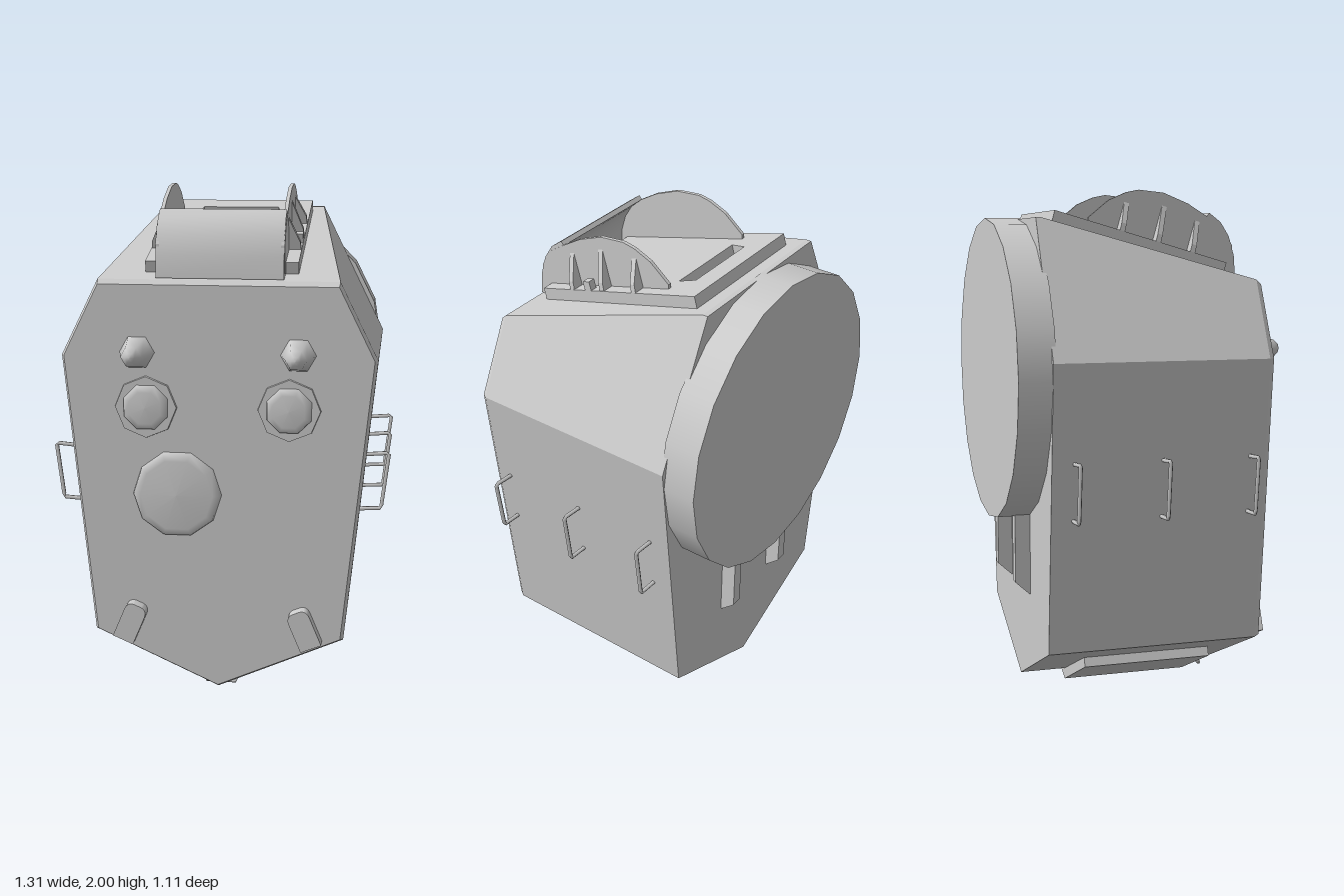
import * as THREE from 'three';
import { toCreasedNormals } from 'three/addons/utils/BufferGeometryUtils.js';

const grey = new THREE.MeshStandardMaterial({ color: 0xcccccc, side: THREE.DoubleSide });

function add(parent, name, geometry, x = 0, y = 0, z = 0) {
  const mesh = new THREE.Mesh(geometry, grey);
  mesh.name = name;
  mesh.position.set(x, y, z);
  parent.add(mesh);
  return mesh;
}

const toShape = (pts) => new THREE.Shape(pts.map(([x, y]) => new THREE.Vector2(x, y)));

const extrude = (shape, depth) =>
  new THREE.ExtrudeGeometry(shape, { depth, bevelEnabled: false, curveSegments: 6 });

// Side profile given as [z, y] pairs, extruded across x and centred on it
function extrudeAcross(pts, width) {
  return extrude(toShape(pts), width).translate(0, 0, -width / 2).rotateY(-Math.PI / 2);
}

// Round part facing forward; profile is [radius, height] from base to tip
function forwardLathe(pts, sides, start = 0) {
  const profile = pts.map(([r, h]) => new THREE.Vector2(r, h));
  return new THREE.LatheGeometry(profile, sides, start).rotateX(Math.PI / 2);
}

// Hull lofted through heptagonal sections from front to back
function hullGeometry() {
  const section = (z, topY, inset) => {
    const topX = 0.6 - (topY - 1.37) * 0.5 - inset;
    const half = [[0.49 - inset, 0.27 + inset / 2], [0.6 - inset, 1.37], [topX, topY]];
    const mirrored = half.map(([x, y]) => [-x, y]).reverse();
    return [[0, 0.05 + inset], ...half, ...mirrored].map(([x, y]) => [x, y, z]);
  };
  const loops = [
    section(0.42, 1.642, 0.012), section(0.4, 1.66, 0),
    section(-0.41, 1.89, 0), section(-0.43, 1.89, 0),
  ];
  const v = [];
  const n = 7;
  for (let k = 0; k < loops.length - 1; k++) {
    const a = loops[k], b = loops[k + 1];
    for (let i = 0; i < n; i++) {
      const j = (i + 1) % n;
      v.push(a[i], b[i], b[j], a[i], b[j], a[j]);
    }
  }
  const front = loops[0], back = loops[loops.length - 1];
  for (let i = 1; i < n - 1; i++) {
    v.push(front[0], front[i], front[i + 1], back[0], back[i + 1], back[i]);
  }
  const g = new THREE.BufferGeometry();
  g.setAttribute('position', new THREE.Float32BufferAttribute(v.flat(), 3));
  g.computeVertexNormals();
  return g;
}

// Bent wire handle through four corners
function handleGeometry(corners, radius) {
  const path = new THREE.CurvePath();
  const p = corners.map((c) => new THREE.Vector3(...c));
  for (let i = 0; i < p.length - 1; i++) path.add(new THREE.LineCurve3(p[i], p[i + 1]));
  return new THREE.TubeGeometry(path, 24, radius, 6);
}

export function createModel() {
  const model = new THREE.Group();
  model.name = 'armouredBody';
  add(model, 'hull', hullGeometry());

  // Rear drum and the two ribs below it
  const drum = new THREE.CylinderGeometry(0.59, 0.59, 0.14, 20).rotateX(Math.PI / 2);
  add(model, 'rearDrum', drum, 0, 1.305, -0.485);
  const rib = [[-0.42, 0.43], [-0.435, 0.43], [-0.49, 0.48], [-0.49, 0.78], [-0.42, 0.78]];
  for (const s of [-1, 1]) add(model, 'rearRib', extrudeAcross(rib, 0.045), s * 0.17);

  // V-shaped plate and small pull under the hull
  const keel = [[0, 0.005], [0.325, 0.155], [0.31, 0.195], [0, 0.06], [-0.31, 0.195], [-0.325, 0.155]];
  add(model, 'bottomPlate', extrude(toShape(keel), 0.515), 0, 0, -0.245);
  add(model, 'bottomPull', handleGeometry(
    [[-0.06, 0.08, 0.31], [-0.06, 0.04, 0.325], [0.06, 0.04, 0.325], [0.06, 0.08, 0.31]], 0.007));

  // Front fittings
  add(model, 'largeDisc', forwardLathe([[0.172, 0], [0.168, 0.018], [0.14, 0.03], [0, 0.036]], 10, Math.PI / 10),
    -0.155, 0.84, 0.418);
  for (const s of [-1, 1]) {
    const ring = new THREE.CylinderGeometry(0.118, 0.122, 0.02, 8).rotateX(Math.PI / 2);
    add(model, 'lensRing', ring, s * 0.273, 1.178, 0.42);
    add(model, 'lens', forwardLathe([[0.092, 0], [0.088, 0.015], [0.065, 0.024], [0, 0.027]], 8, Math.PI / 8),
      s * 0.273, 1.178, 0.428);
    add(model, 'nozzle', forwardLathe([[0.068, 0], [0.062, 0.02], [0.04, 0.112], [0.018, 0.136], [0, 0.138]], 6, Math.PI / 6),
      s * 0.305, 1.387, 0.418);

    // Leaning arched lug
    const arch = new THREE.Shape();
    arch.moveTo(-0.043, -0.075);
    arch.lineTo(0.043, -0.075);
    arch.lineTo(0.043, 0.05);
    arch.quadraticCurveTo(0.04, 0.078, 0.015, 0.08);
    arch.lineTo(-0.015, 0.08);
    arch.quadraticCurveTo(-0.04, 0.078, -0.043, 0.05);
    const lug = add(model, 'lowerLug', toCreasedNormals(extrude(arch, 0.06), 0.6), s * 0.34, 0.32, 0.41);
    lug.rotation.z = s * 0.4;

    // Three wire handles per side
    for (const z of [0.34, -0.005, -0.345]) {
      add(model, 'sideHandle', handleGeometry([
        [s * 0.555, 1.0, z], [s * 0.648, 1.008, z], [s * 0.622, 0.79, z], [s * 0.535, 0.785, z],
      ], 0.008));
    }
  }

  // Hatch plate with a slot, lying on the sloped top
  const hatch = new THREE.Group();
  hatch.name = 'topHatch';
  hatch.position.set(0.006, 1.774, 0);
  hatch.rotation.x = Math.atan2(0.23, 0.81);
  model.add(hatch);
  const plate = toShape([[-0.29, -0.345], [0.29, -0.345], [0.29, 0.37], [-0.29, 0.37]]);
  plate.holes.push(new THREE.Path(
    [[-0.17, 0.215], [-0.155, 0.28], [0.155, 0.28], [0.17, 0.215]].map((p) => new THREE.Vector2(...p))));
  add(hatch, 'hatchPlate', extrude(plate, 0.05).rotateX(-Math.PI / 2), 0, -0.005);

  // Triangular fins bracing the side guards
  const fins = [[0.2, 0.185], [0.055, 0.205], [-0.095, 0.17]];
  for (const s of [-1, 1]) {
    for (const [z, h] of fins) {
      const fin = toShape([[s * 0.23, 0.03], [s * 0.29, 0.03], [s * 0.285, 0.075], [s * 0.235, h]]);
      add(hatch, 'guardFin', extrude(fin, 0.02), 0, 0, z - 0.01);
    }
  }
  add(hatch, 'latch', new THREE.BoxGeometry(0.03, 0.04, 0.03), 0.275, 0.06, 0.12);

  // Side guards and curved hood
  const guard = [[0.385, 1.67], [0.385, 1.79], [0.35, 1.855], [0.29, 1.895], [0.2, 1.95], [0.1, 1.99],
    [0, 2], [-0.05, 1.99], [-0.12, 1.96], [-0.2, 1.895], [-0.2, 1.85]];
  for (const s of [-1, 1]) add(model, 'sideGuard', extrudeAcross(guard, 0.014), 0.006 + s * 0.235);
  const hood = [[0.4, 1.665], [0.394, 1.75], [0.372, 1.825], [0.337, 1.88], [0.29, 1.915],
    [0.278, 1.9], [0.32, 1.863], [0.352, 1.812], [0.372, 1.745], [0.375, 1.665]];
  add(model, 'frontHood', toCreasedNormals(extrudeAcross(hood, 0.48), 0.7), 0.006);

  return model;
}
